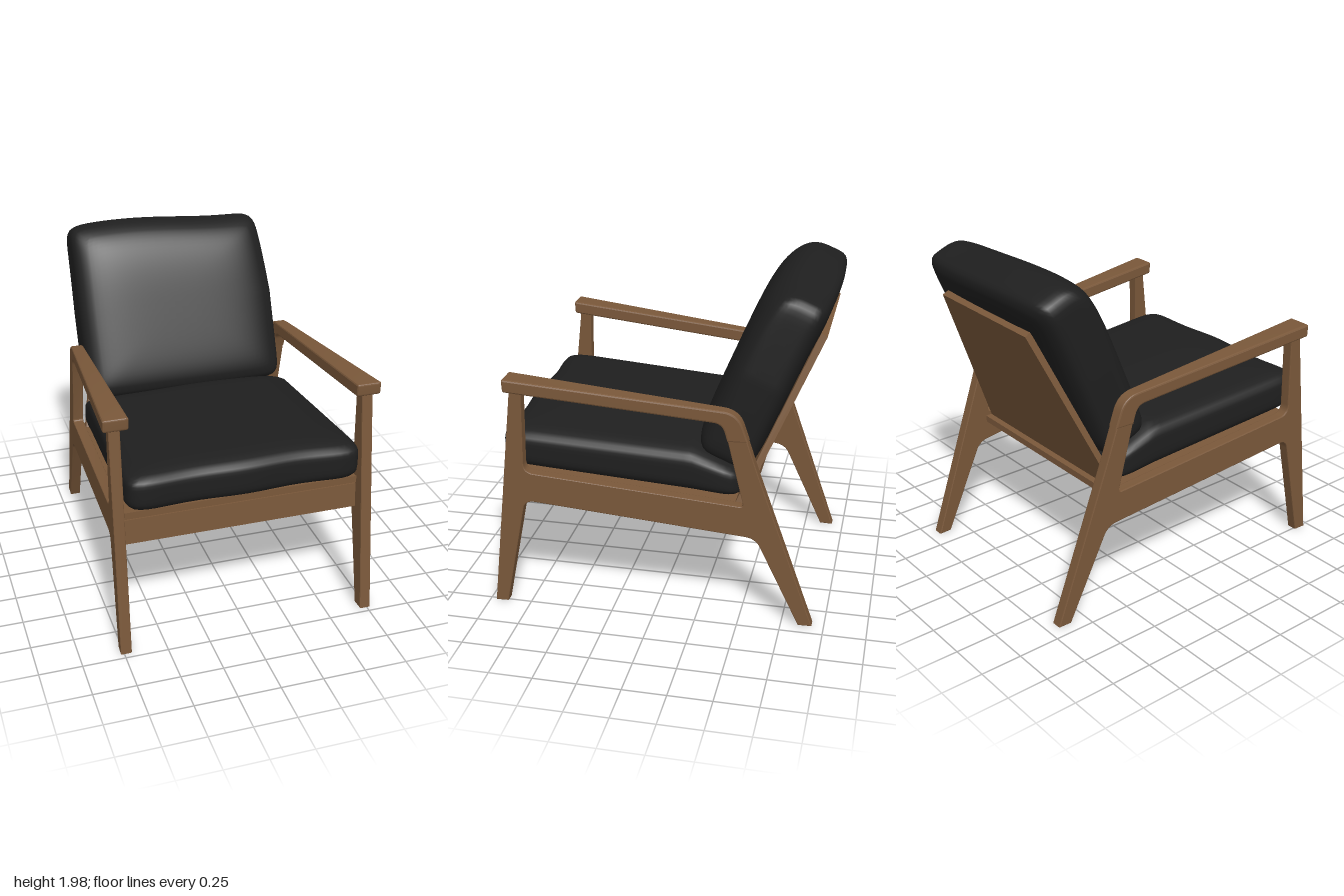
import * as THREE from 'three';
import { mergeVertices, toCreasedNormals } from 'three/addons/utils/BufferGeometryUtils.js';

const wood = new THREE.MeshStandardMaterial({ color: 0x7a583a });
wood.name = 'walnutWood';
const fabric = new THREE.MeshStandardMaterial({ color: 0x1f1f1f });
fabric.name = 'blackFabric';

// Closed outline from [z, y, cornerRadius] points; shape x is -z.
function outline(points, Type = THREE.Shape) {
  const path = new Type();
  const v = points.map(([z, y]) => new THREE.Vector2(-z, y));
  points.forEach(([, , r = 0], i) => {
    const p = v[i];
    const a = v[(i + v.length - 1) % v.length], b = v[(i + 1) % v.length];
    const start = p.clone().add(a.clone().sub(p).setLength(r));
    const end = p.clone().add(b.clone().sub(p).setLength(r));
    if (i === 0) path.moveTo(start.x, start.y);
    else path.lineTo(start.x, start.y);
    if (r > 0) path.quadraticCurveTo(p.x, p.y, end.x, end.y);
  });
  path.closePath();
  return path;
}

// Extrudes a side outline across x; span(z, y) gives [centre, width] at each vertex.
function sidePart(name, points, span, bevel, hole) {
  const shape = outline(points);
  if (hole) shape.holes.push(outline(hole, THREE.Path));
  const cap = 0.1;
  let geo = new THREE.ExtrudeGeometry(shape, {
    depth: 1 - 2 * cap, curveSegments: 8, bevelEnabled: bevel > 0,
    bevelThickness: cap, bevelSize: bevel, bevelOffset: -bevel, bevelSegments: 2,
  });
  geo.rotateY(Math.PI / 2);
  geo.computeBoundingBox();
  const { min, max } = geo.boundingBox;
  const p = geo.attributes.position;
  for (let i = 0; i < p.count; i++) {
    const [centre, width] = span(p.getZ(i), p.getY(i));
    const t = (p.getX(i) - min.x) / (max.x - min.x) - 0.5;
    p.setX(i, centre + t * width);
  }
  geo = toCreasedNormals(geo, 0.25);
  const mesh = new THREE.Mesh(geo, wood);
  mesh.name = name;
  return mesh;
}

// Soft cushion: a finely divided box with soft edges and squarer corners, placed by a rule.
function cushion(name, power, cornerPower, place) {
  let geo = new THREE.BoxGeometry(2, 2, 2, 30, 14, 30);
  geo.deleteAttribute('normal');
  geo.deleteAttribute('uv');
  geo = mergeVertices(geo);
  const p = geo.attributes.position;
  for (let i = 0; i < p.count; i++) {
    const [u, v, w] = [p.getX(i), p.getY(i), p.getZ(i)];
    const flat = (Math.abs(u) ** cornerPower + Math.abs(w) ** cornerPower) ** (1 / cornerPower);
    const k = (flat ** power + Math.abs(v) ** power) ** (-1 / power);
    p.setXYZ(i, ...place(u * k, v * k, w * k));
  }
  geo.computeVertexNormals();
  const mesh = new THREE.Mesh(geo, fabric);
  mesh.name = name;
  return mesh;
}

export function createModel() {
  const model = new THREE.Group();
  model.name = 'loungeChair';

  // Side frames (legs, rail and post in one ring) and the widening armrests
  for (const side of [1, -1]) {
    const label = side > 0 ? 'left' : 'right';
    model.add(sidePart(label + 'Frame', [
      [0.965, 0], [0.89, 0], [0.755, 0.685, 0.06], [-0.59, 0.548, 0.06], [-0.85, 0],
      [-0.93, 0], [-0.595, 0.95, 0.04], [-0.485, 1.285, 0.09], [0.81, 1.41],
    ], (z) => [side * (0.69 + 0.05 * z), 0.065], 0.005, [
      [0.745, 1.38], [0.755, 0.865, 0.06], [-0.518, 0.742, 0.025], [-0.395, 1.255, 0.05],
    ]));
    model.add(sidePart(label + 'Armrest', [
      [0.847, 1.443, 0.015], [0.843, 1.366, 0.015], [-0.39, 1.245, 0.05], [-0.42, 1.14],
      [-0.536, 1.14], [-0.478, 1.313, 0.09],
    ], (z) => {
      const inner = 0.63 + 0.019 * (z + 0.45), outer = 0.703 + 0.074 * (z + 0.45);
      return [side * (inner + outer) / 2, outer - inner];
    }, 0.01));
  }

  // Front rail, seat board and tapered back board
  const between = (z) => [0, 2 * (0.66 + 0.05 * z)];
  model.add(sidePart('frontRail',
    [[0.805, 0.785], [0.815, 0.635], [0.775, 0.635], [0.765, 0.785]], between, 0));
  model.add(sidePart('seatBoard',
    [[0.81, 0.835], [0.81, 0.793], [-0.53, 0.675], [-0.53, 0.715]], between, 0));
  model.add(sidePart('backBoard',
    [[-0.92, 1.69], [-0.885, 1.71], [-0.45, 0.71], [-0.485, 0.7]],
    (z, y) => [0, 1.26 - 0.44 * (y - 0.7)], 0));

  // Seat cushion, sinking under the back cushion
  model.add(cushion('seatCushion', 5, 16, (u, v, w) => {
    const z = 0.205 + 0.698 * w;
    const bottom = 0.772 + 0.08 * z;
    const top = 1.067 + 0.06 * z - 0.36 * Math.max(0, -0.2 - z) + 0.006 * Math.sin(4 * u + 1);
    return [u * (0.658 + 0.04 * z), (bottom + top) / 2 + v * (top - bottom) / 2,
      z + (w > 0 ? 0.008 * Math.cos(7 * u) * w : 0)];
  }));

  // Back cushion, leaning on the board with a rounded, slightly slumped top; v = -1 faces forward
  model.add(cushion('backCushion', 6, 16, (u, v, w) => {
    const up = Math.max(0, w);
    const along = 0.438 + 0.552 * w - 0.018 * up * (1 + Math.sin(2.6 * u - 0.4))
      - 0.06 * up ** 3 * Math.max(0, -v) ** 2;
    const front = 0.375 - 0.06 * up ** 3 - 0.03 * u ** 4;
    const back = -0.012 - 0.045 * up ** 3 * Math.cos(1.3 * u + 0.2);
    const out = (front + back) / 2 - v * (front - back) / 2;
    const x = u * (0.625 - (u > 0 ? 0.045 * up : 0.01 * up));
    return [x, 1 + 0.922 * along + 0.387 * out, -0.57 - 0.387 * along + 0.922 * out];
  }));

  return model;
}
